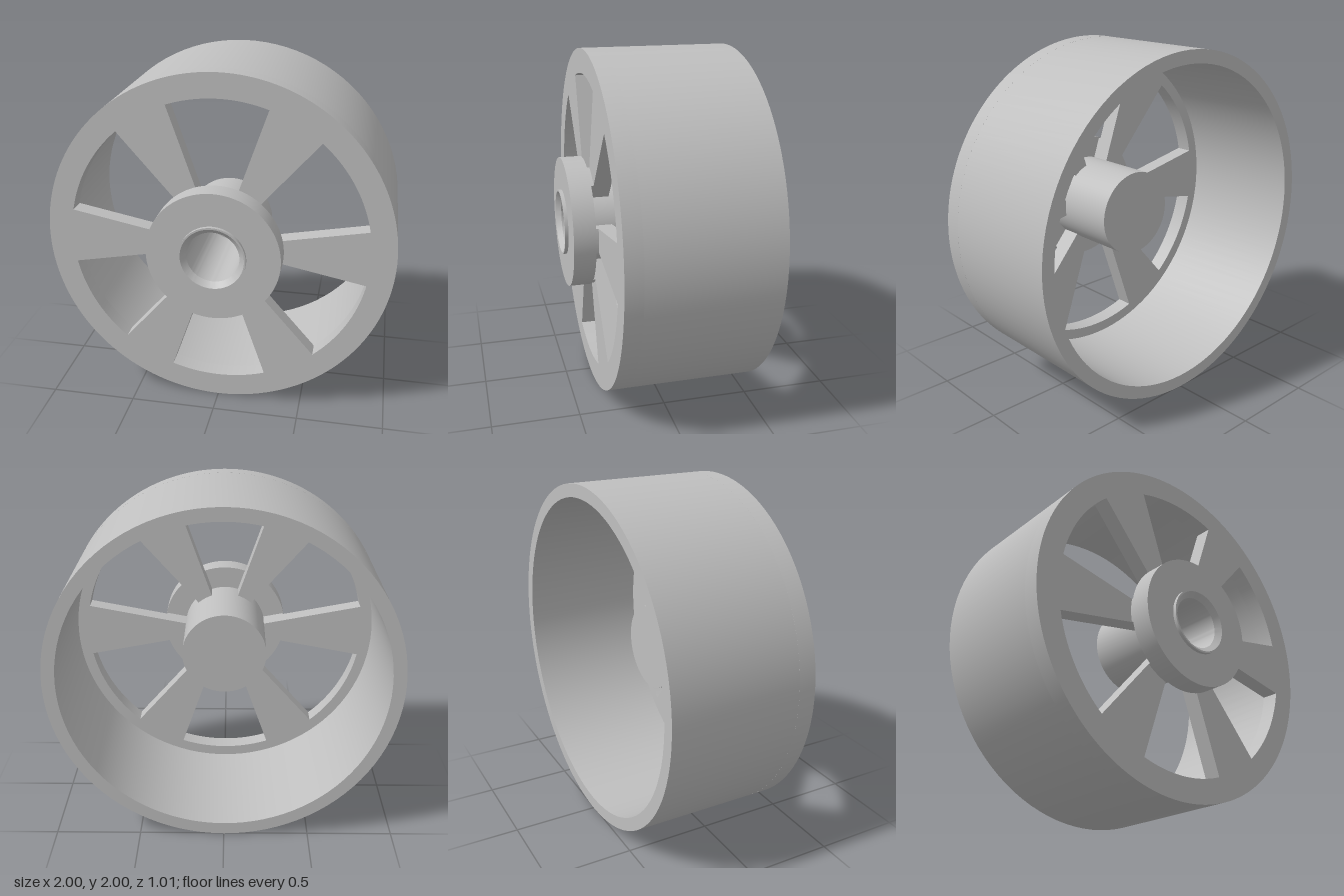
import * as THREE from 'three';
import { toCreasedNormals } from 'three/addons/utils/BufferGeometryUtils.js';

const SPOKES = 6;
const HALF_SPOKE = THREE.MathUtils.degToRad(11);
const STEP = (Math.PI * 2) / SPOKES;

// Ring sector between two radii and two angles
function sector(Type, r0, r1, a0, a1) {
  const s = new Type();
  s.absarc(0, 0, r1, a0, a1, false);
  s.absarc(0, 0, r0, a1, a0, true);
  s.closePath();
  return s;
}

export function createModel() {
  const model = new THREE.Group();
  model.name = 'wheel';
  const grey = new THREE.MeshStandardMaterial({ color: 0xbfbfbf });
  grey.name = 'grey';

  const add = (name, geometry) => {
    const mesh = new THREE.Mesh(toCreasedNormals(geometry, 0.5), grey);
    mesh.name = name;
    mesh.position.y = 1;
    model.add(mesh);
  };

  // Profiles are [radius, z], turned about the z axis
  const turned = (profile) =>
    new THREE.LatheGeometry(profile.map(([r, z]) => new THREE.Vector2(r, z)), 96).rotateX(Math.PI / 2);

  const slab = (shape, z0, z1) =>
    new THREE.ExtrudeGeometry(shape, { depth: z1 - z0, bevelEnabled: false, curveSegments: 96 })
      .translate(0, 0, z0);

  // Wide hollow barrel, open at the back
  add('rimBarrel', turned([[0.925, 0.245], [0.925, -0.505], [1, -0.505], [1, 0.245]]));

  // Front plate with six windows that leave the spokes
  const plate = new THREE.Shape().absarc(0, 0, 1, 0, Math.PI * 2, false);
  plate.holes.push(new THREE.Path().absarc(0, 0, 0.2, 0, Math.PI * 2, true));
  for (let i = 0; i < SPOKES; i++) {
    const a = i * STEP;
    plate.holes.push(sector(THREE.Path, 0.24, 0.86, a + HALF_SPOKE, a + STEP - HALF_SPOKE));
  }
  add('spokePlate', slab(plate, 0.245, 0.345));

  // Raised spoke roots that meet the flange
  for (let i = 0; i < SPOKES; i++) {
    const a = i * STEP;
    add('spokeRoot', slab(sector(THREE.Shape, 0.22, 0.375, a - HALF_SPOKE, a + HALF_SPOKE), 0.345, 0.36));
  }

  // Hub with flange, raised collar and chamfered blind bore
  add('hub', turned([
    [0, -0.105], [0.25, -0.105], [0.25, 0.36], [0.38, 0.36], [0.38, 0.485],
    [0.19, 0.485], [0.19, 0.505], [0.18, 0.505], [0.15, 0.475], [0.15, -0.09], [0, -0.09],
  ]));

  return model;
}
